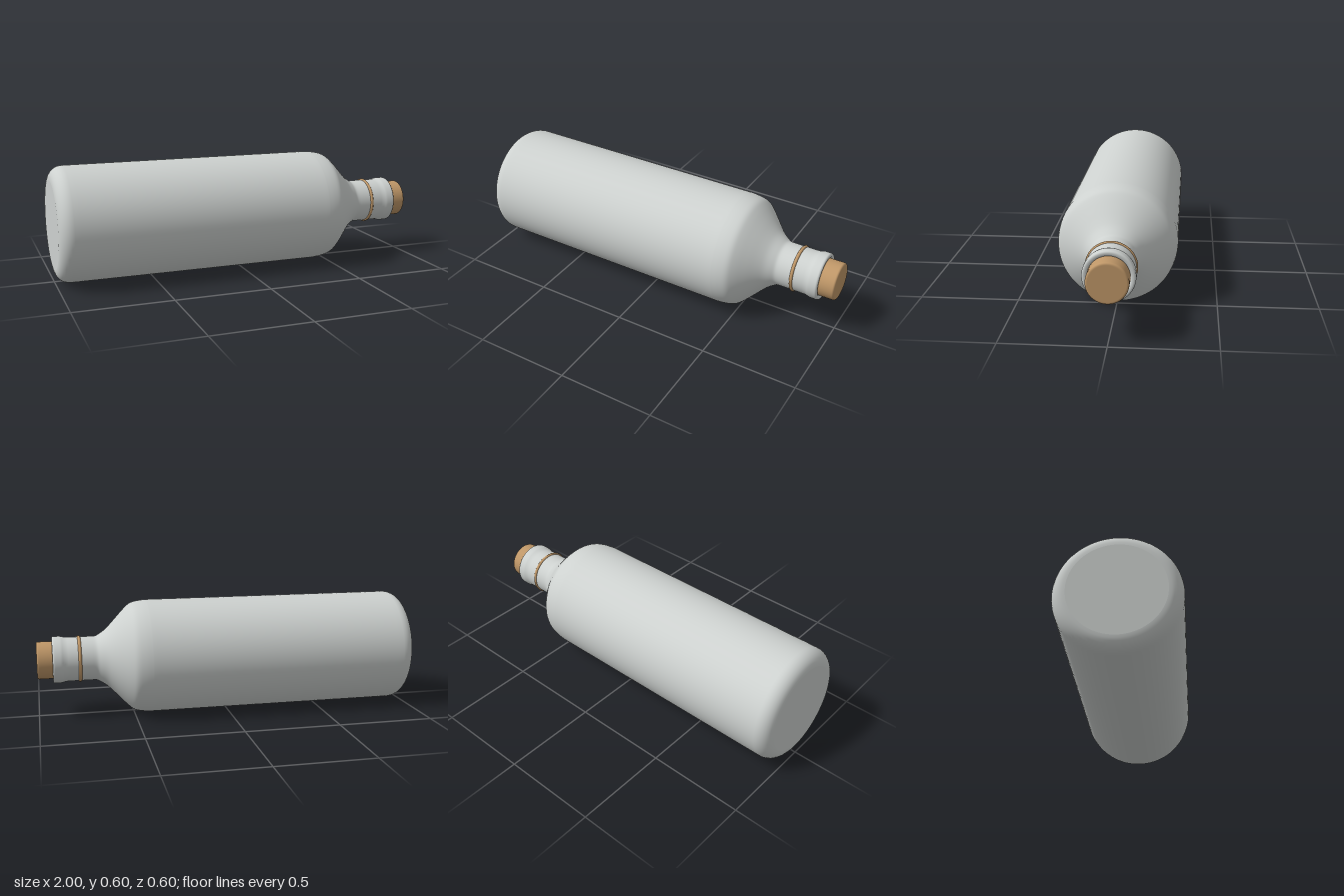
import * as THREE from 'three';

const glass = new THREE.MeshStandardMaterial({ color: 0xcdd1cf });
glass.name = 'pale grey ceramic';
const corkMat = new THREE.MeshStandardMaterial({ color: 0xbf9768 });
corkMat.name = 'cork tan';

// Turns a profile of [distance along the bottle, radius] pairs
function turned(name, profile, material) {
  const points = profile.map(([along, radius]) => new THREE.Vector2(radius, along));
  const mesh = new THREE.Mesh(new THREE.LatheGeometry(points, 96), material);
  mesh.name = name;
  return mesh;
}

// Quarter-round corner between a flat end and a side
function corner(x, r, size, from, to, steps = 8) {
  return Array.from({ length: steps + 1 }, (_, i) => {
    const a = THREE.MathUtils.lerp(from, to, i / steps);
    return [x + size * Math.sin(a), r + size * Math.cos(a)];
  });
}

export function createModel() {
  const bottle = new THREE.Group();
  bottle.name = 'bottle';

  // Flat base, rounded heel and straight wall
  bottle.add(turned('base', [[-1, 0], [-1, 0.23]], glass));
  const heel = corner(-0.93, 0.23, 0.07, -Math.PI / 2, 0);

  // Shoulder sweeping into the neck
  const shoulder = new THREE.SplineCurve([
    [0.42, 0.3], [0.46, 0.296], [0.5, 0.286], [0.53, 0.263], [0.57, 0.222],
    [0.61, 0.179], [0.64, 0.15], [0.67, 0.129], [0.69, 0.118], [0.71, 0.116],
  ].map(([x, r]) => new THREE.Vector2(x, r))).getPoints(36).map((p) => [p.x, p.y]);

  // Neck, then a thicker rounded lip closing around the stopper
  const lip = [
    [0.84, 0.116], [0.857, 0.117], [0.868, 0.121], [0.88, 0.123], [0.905, 0.123],
    ...corner(0.91, 0.113, 0.01, 0, Math.PI / 2, 5),
    [0.92, 0.106], [0.917, 0.101], [0.91, 0.097], [0.88, 0.096],
  ];
  bottle.add(turned('body', [
    ...heel, [-0.9, 0.3], [0.4, 0.3], ...shoulder, [0.73, 0.116], ...lip,
  ], glass));

  // Cord around the neck
  const band = new THREE.Mesh(new THREE.TorusGeometry(0.114, 0.009, 12, 96), corkMat);
  band.name = 'neckBand';
  band.rotation.x = Math.PI / 2;
  band.position.y = 0.78;
  bottle.add(band);

  // Cork stopper with softened rim
  bottle.add(turned('stopper', [
    [0.88, 0.095], [0.92, 0.098], [0.98, 0.098],
    ...corner(0.99, 0.088, 0.01, 0, Math.PI / 2, 5), [1, 0.085], [1, 0],
  ], corkMat));

  // Lay the bottle on its side, mouth toward +x
  bottle.rotation.z = -Math.PI / 2;
  bottle.position.y = 0.3;
  const model = new THREE.Group();
  model.name = 'lyingBottle';
  model.add(bottle);
  return model;
}
